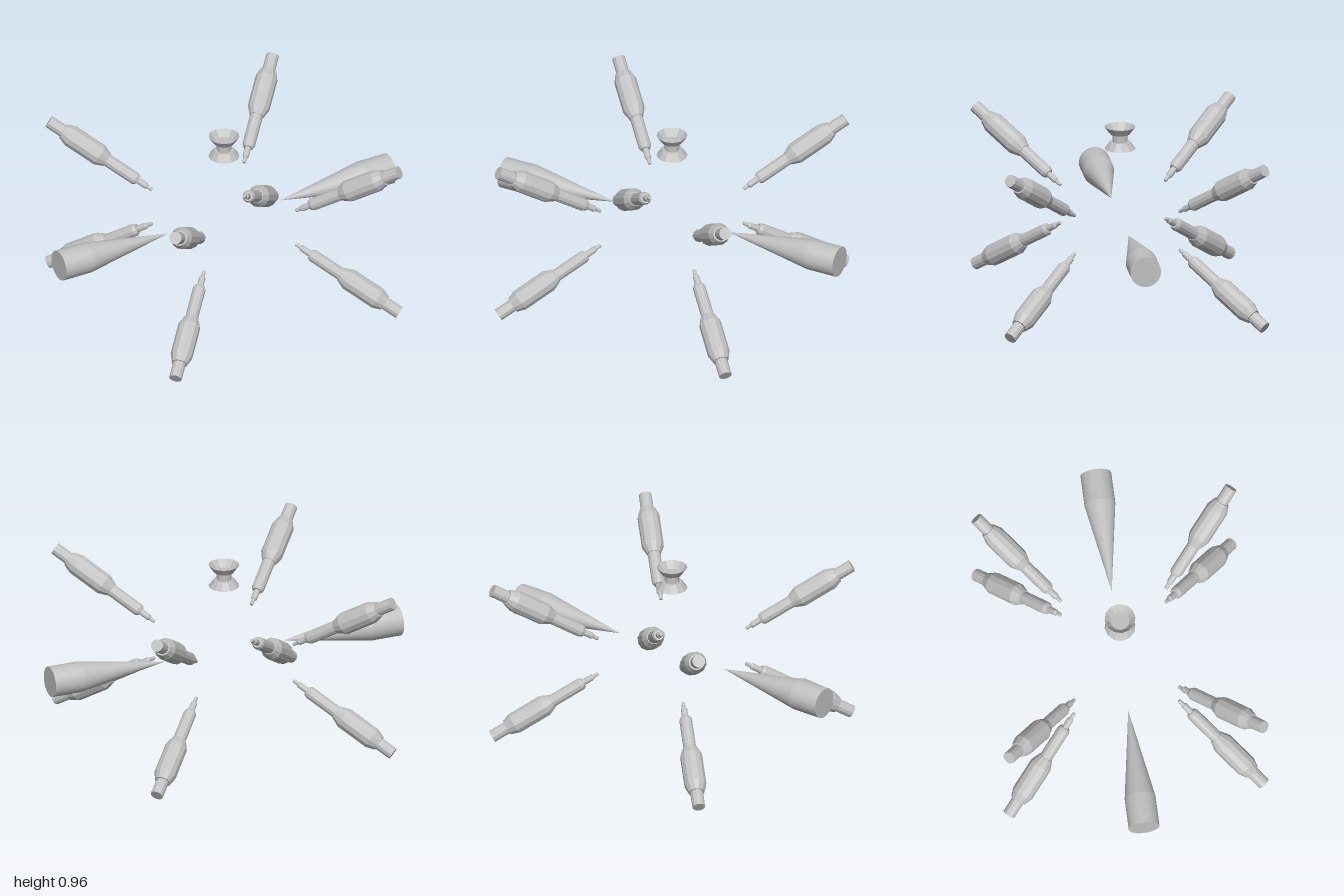
import * as THREE from 'three';

export function createModel() {
  const model = new THREE.Group();
  const grey = new THREE.MeshStandardMaterial({ color: 0xc0c0c0, flatShading: true });
  grey.name = 'grey metal';
  const smoothGrey = new THREE.MeshStandardMaterial({ color: 0xc0c0c0 });
  smoothGrey.name = 'smooth grey metal';
  const centreY = 0.465;
  const up = new THREE.Vector3(0, 1, 0);

  const lathe = (points, sides) =>
    new THREE.LatheGeometry(points.map(([r, y]) => new THREE.Vector2(r, y)), sides);

  // Probe profile: radius and fraction of length, from inner tip to outer rod
  const length = 0.655;
  const probeGeometry = lathe([
    [0, 0], [0.008, 0], [0.01, 0.01], [0.01, 0.045], [0.017, 0.06], [0.017, 0.14],
    [0.026, 0.14], [0.034, 0.165], [0.034, 0.435],
    [0.038, 0.435], [0.059, 0.51], [0.059, 0.79], [0.042, 0.86],
    [0.034, 0.86], [0.034, 1], [0, 1],
  ].map(([r, t]) => [r, t * length]), 12);

  // Eight probes pointing at the centre from the corners
  for (const sx of [-1, 1]) for (const sy of [-1, 1]) for (const sz of [-1, 1]) {
    const probe = new THREE.Mesh(probeGeometry, grey);
    probe.name = `${sy > 0 ? 'upper' : 'lower'} ${sz > 0 ? 'front' : 'back'} ${sx > 0 ? 'left' : 'right'} probe`;
    const direction = new THREE.Vector3(0.4 * sx, 0.33 * sy, 0.4 * sz).normalize();
    probe.position.set(0.278 * sx, centreY + 0.104 * sy, 0.278 * sz);
    probe.quaternion.setFromUnitVectors(up, direction);
    model.add(probe);
  }

  // Two long spikes on the side axis
  for (const side of [-1, 1]) {
    const spike = new THREE.Group();
    spike.name = side > 0 ? 'left spike' : 'right spike';
    const shank = new THREE.Mesh(new THREE.CylinderGeometry(0.082, 0.082, 0.17, 32), smoothGrey);
    shank.name = 'spike shank';
    shank.position.y = -0.915;
    const point = new THREE.Mesh(new THREE.ConeGeometry(0.082, 0.49, 32, 1, true), smoothGrey);
    point.name = 'spike point';
    point.position.y = -0.585;
    spike.add(shank, point);
    spike.position.y = centreY;
    spike.rotation.z = side * Math.PI / 2;
    model.add(spike);
  }

  // Spool with a flared foot and an open funnel on top
  const spool = new THREE.Mesh(lathe([
    [0, 0.843], [0.082, 0.843], [0.053, 0.883], [0.039, 0.883],
    [0.039, 0.925], [0.053, 0.925], [0.082, 0.965], [0.051, 0.927], [0, 0.927],
  ], 12), grey);
  spool.name = 'spool';
  model.add(spool);

  return model;
}
